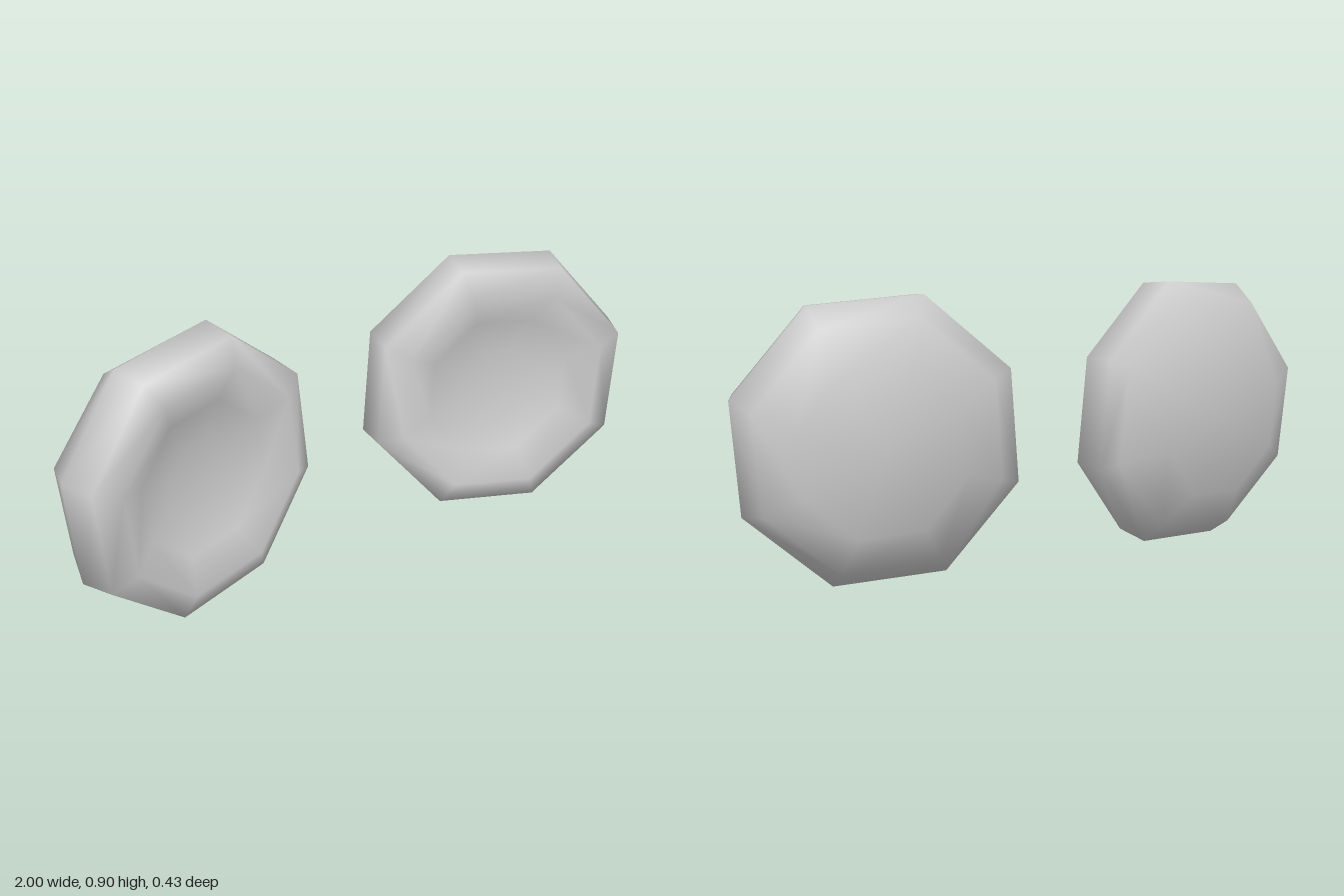
import * as THREE from 'three';

const SIDES = 8;
const TWIST = 0.304; // angle of the first octagon corner

// cross-section rings from back to front: [radius, depth, depth slope across x]
const RINGS = [
  [0, -0.195, 0],       // middle of the domed back
  [0.27, -0.17, -0.06],
  [0.40, -0.10, -0.11],
  [0.462, -0.027, 0],   // widest edge
  [0.445, 0.09, 0],
  [0.36, 0.128, 0],     // crest of the front rim
  [0.25, 0.08, 0],
  [0.13, 0.058, 0],
  [0, 0.052, 0],        // middle of the dish
];

// Octagonal pad with a domed back and a dished front; side = 1 or -1 mirrors it in x
function padGeometry(side) {
  const positions = [];
  const index = [];
  const starts = [];
  const turn = new THREE.Euler(-0.045, -0.265, 0);
  const v = new THREE.Vector3();
  for (const [radius, depth, slope] of RINGS) {
    starts.push(positions.length / 3);
    for (let k = 0; k < (radius ? SIDES : 1); k++) {
      const a = TWIST + (k / SIDES) * Math.PI * 2;
      const x = radius * Math.cos(a);
      v.set(x, 1.02 * radius * Math.sin(a), depth + slope * x).applyEuler(turn);
      positions.push(side * (v.x + 0.567), v.y + 0.45, v.z);
    }
  }
  const at = (r, k) => starts[r] + (RINGS[r][0] ? k % SIDES : 0);
  const face = (a, b, c) => (side > 0 ? index.push(a, b, c) : index.push(a, c, b));
  for (let r = 0; r < RINGS.length - 1; r++) {
    for (let k = 0; k < SIDES; k++) {
      const a = at(r, k), b = at(r, k + 1), c = at(r + 1, k + 1), d = at(r + 1, k);
      if (a !== b) face(a, b, c);
      if (c !== d) face(a, c, d);
    }
  }
  const geometry = new THREE.BufferGeometry();
  geometry.setAttribute('position', new THREE.Float32BufferAttribute(positions, 3));
  geometry.setIndex(index);
  geometry.computeVertexNormals();
  return geometry;
}

export function createModel() {
  const group = new THREE.Group();
  const material = new THREE.MeshStandardMaterial({ color: 0xcccccc });
  for (const [name, side] of [['leftPad', 1], ['rightPad', -1]]) {
    const pad = new THREE.Mesh(padGeometry(side), material);
    pad.name = name;
    group.add(pad);
  }
  return group;
}
